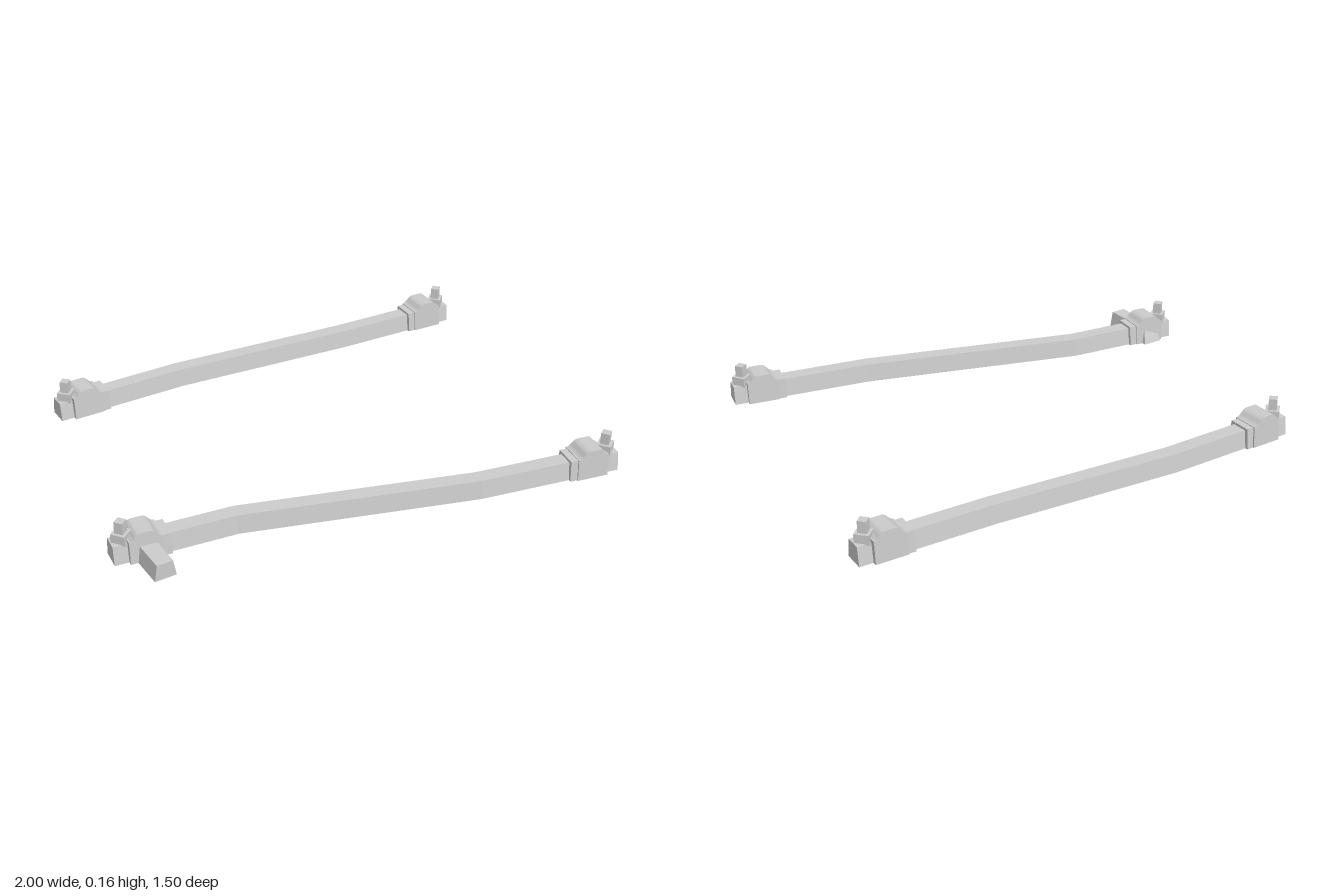
import * as THREE from 'three';
import { toCreasedNormals } from 'three/addons/utils/BufferGeometryUtils.js';

const material = new THREE.MeshStandardMaterial({ color: 0xcccccc, side: THREE.DoubleSide });

function addMesh(parent, geometry, name) {
  const mesh = new THREE.Mesh(geometry, material);
  mesh.name = name;
  parent.add(mesh);
  return mesh;
}

// Trapezoid bar swept along [x, z] points; startSlope leans the first end cap
function barGeometry(points, height = 0.075, startSlope = 0) {
  const path = points.map(([x, z]) => new THREE.Vector2(x, z));
  const section = [[0.043, 0], [0.032, height], [-0.032, height], [-0.043, 0]];
  const rings = path.map((p, i) => {
    const before = path[Math.max(i - 1, 0)];
    const after = path[Math.min(i + 1, path.length - 1)];
    const d = after.clone().sub(before).normalize();
    return section.map(([w, y]) => {
      const lean = i === 0 ? startSlope * y / height : 0;
      return [p.x - d.y * w + d.x * lean, y, p.y + d.x * w + d.y * lean];
    });
  });
  const positions = [];
  const quad = (a, b, c, d) => positions.push(...a, ...b, ...c, ...a, ...c, ...d);
  for (let i = 0; i < rings.length - 1; i++) {
    for (let k = 0; k < 4; k++) {
      const n = (k + 1) % 4;
      quad(rings[i][k], rings[i + 1][k], rings[i + 1][n], rings[i][n]);
    }
  }
  quad(...rings[0]);
  quad(...rings[rings.length - 1].slice().reverse());
  const geometry = new THREE.BufferGeometry();
  geometry.setAttribute('position', new THREE.Float32BufferAttribute(positions, 3));
  geometry.computeVertexNormals();
  return geometry;
}

// Side profile extruded across the bar and narrowed towards the top
function taperedExtrude(shape, width, narrowing) {
  const geometry = new THREE.ExtrudeGeometry(shape, { depth: width, bevelEnabled: false, curveSegments: 12 });
  geometry.translate(0, 0, -width / 2);
  const p = geometry.attributes.position;
  for (let i = 0; i < p.count; i++) p.setZ(i, p.getZ(i) * (1 - narrowing * p.getY(i) / 0.12));
  return toCreasedNormals(geometry, 0.5);
}

// Foot with its outer end at the origin, running inwards along +x
function createFoot() {
  const foot = new THREE.Group();
  foot.name = 'foot';

  // Humped cover
  const cover = new THREE.Shape();
  cover.moveTo(0.055, 0);
  cover.lineTo(0.185, 0);
  cover.lineTo(0.185, 0.088);
  cover.bezierCurveTo(0.16, 0.09, 0.16, 0.119, 0.135, 0.119);
  cover.lineTo(0.095, 0.119);
  cover.bezierCurveTo(0.075, 0.118, 0.075, 0.094, 0.055, 0.09);
  cover.lineTo(0.055, 0);
  addMesh(foot, taperedExtrude(cover, 0.12, 0.14), 'footCover');

  // Collar around the bar
  const collar = new THREE.Shape();
  collar.moveTo(0.18, 0);
  collar.lineTo(0.215, 0);
  collar.lineTo(0.215, 0.085);
  collar.lineTo(0.18, 0.085);
  collar.lineTo(0.18, 0);
  addMesh(foot, taperedExtrude(collar, 0.11, 0.2), 'footCollar');

  // Square nut and bolt, set cornerwise
  const nut = addMesh(foot, toCreasedNormals(new THREE.CylinderGeometry(0.04, 0.04, 0.04, 4), 0.5), 'nut');
  nut.position.set(0.043, 0.09, 0);
  const bolt = addMesh(foot, toCreasedNormals(new THREE.CylinderGeometry(0.024, 0.024, 0.085, 4), 0.5), 'bolt');
  bolt.position.set(0.043, 0.115, 0);
  return foot;
}

function createRail(name, points) {
  const rail = new THREE.Group();
  rail.name = name;
  addMesh(rail, barGeometry(points), 'bar');
  const last = points.length - 1;
  for (const [end, next] of [[points[0], points[1]], [points[last], points[last - 1]]]) {
    const foot = createFoot();
    foot.position.set(end[0], 0, end[1]);
    foot.rotation.y = Math.atan2(end[1] - next[1], next[0] - end[0]);
    rail.add(foot);
  }
  return rail;
}

export function createModel() {
  const model = new THREE.Group();
  model.name = 'railPair';
  model.add(createRail('backRail', [[-0.925, -0.515], [-0.37, -0.597], [0.41, -0.643], [0.955, -0.7]]));
  const front = createRail('frontRail', [[-1, 0.52], [-0.52, 0.508], [0.41, 0.657], [0.995, 0.685]]);
  // Short cross bar through the front rail's right-hand foot
  addMesh(front, barGeometry([[-0.893, 0.443], [-0.853, 0.7]], 0.066, 0.025), 'crossBar');
  model.add(front);
  return model;
}
